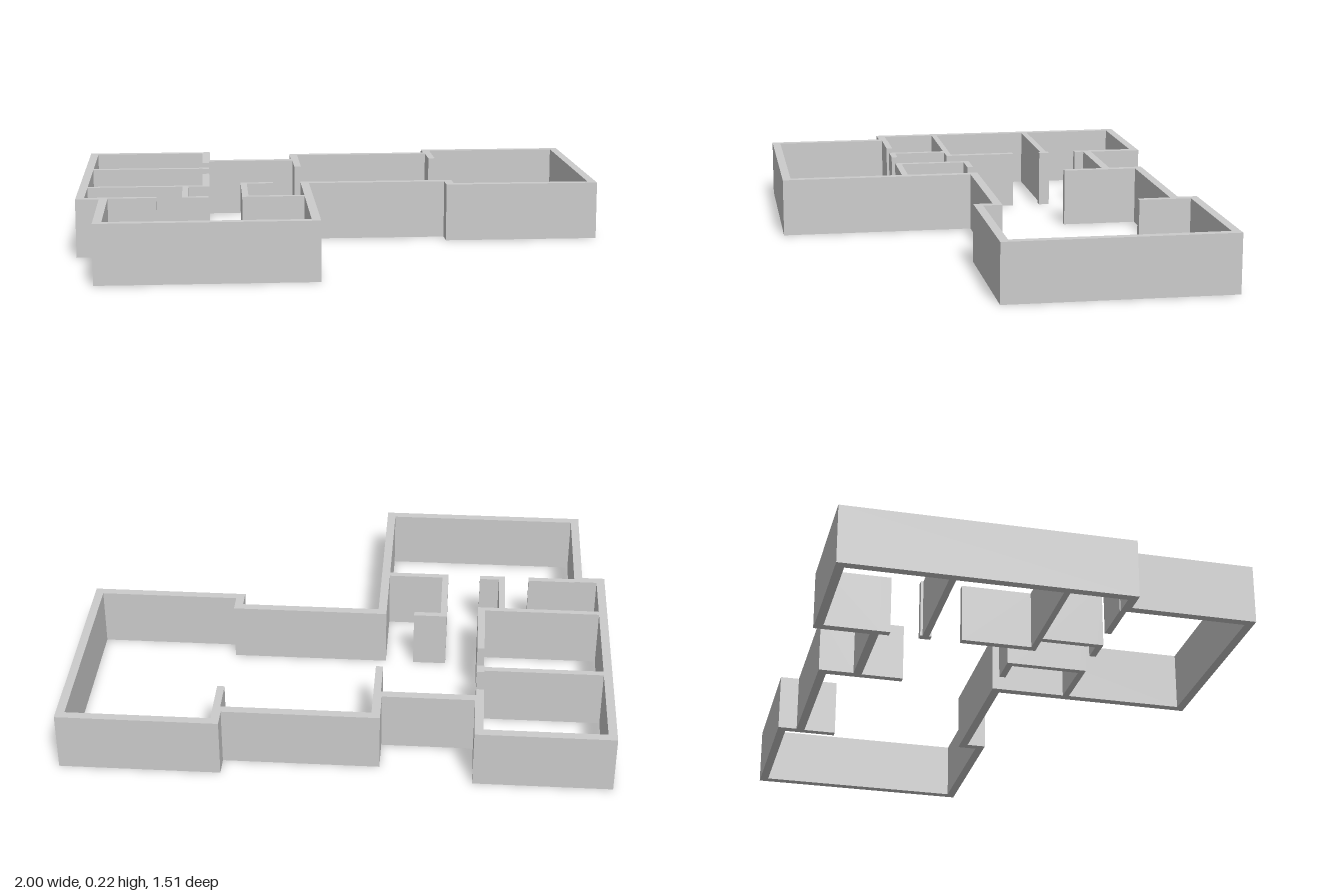
import * as THREE from 'three';

const HEIGHT = 0.22;
const THICK = 0.032;

// Corners of the outside face as [x, z], going round the house.
const OUTLINE = [
  [-1, -0.757], [-0.497, -0.757], [-0.497, -0.553], [-0.16, -0.553],
  [-0.16, -0.684], [0.411, -0.684], [0.411, -0.757], [1, -0.757],
  [1, 0.09], [0.411, 0.09], [0.411, 0.018], [-0.117, 0.018],
  [-0.117, 0.757], [-0.913, 0.757], [-0.913, 0.298], [-1, 0.298],
];

// Moves every corner of a right-angled outline inward by d.
function inset(points, d) {
  const n = points.length;
  return points.map(([x, z], i) => {
    const [px, pz] = points[(i + n - 1) % n];
    const [nx, nz] = points[(i + 1) % n];
    const dx = Math.sign(x - px) + Math.sign(nx - x);
    const dz = Math.sign(z - pz) + Math.sign(nz - z);
    return [x - dz * d, z + dx * d];
  });
}

const toVectors = (points) => points.map(([x, z]) => new THREE.Vector2(x, z));

// Partitions by name, each as [x0, x1, z0, z1].
const PARTITIONS = {
  backBedroomDoorJamb: [-0.529, -0.502, -0.521, -0.484],
  hallStubWall: [-0.155, -0.128, -0.652, -0.364],
  livingRoomStubWall: [0.416, 0.443, -0.652, -0.529],
  bedroomDividingWall: [-0.968, -0.529, -0.366, -0.342],
  dividingWallEndPost: [-0.529, -0.502, -0.375, -0.333],
  bedroomSideWall: [-0.529, -0.502, -0.222, 0.037],
  bedroomFrontWall: [-0.968, -0.502, 0.037, 0.059],
  bathroomSideWall: [-0.606, -0.582, 0.059, 0.263],
  bathroomFrontWall: [-0.606, -0.507, 0.263, 0.287],
  bathroomDoorJamb: [-0.881, -0.7, 0.263, 0.287],
  closetBackWall: [-0.382, -0.256, -0.015, 0.009],
  closetSideWall: [-0.382, -0.358, 0.009, 0.263],
  closetFrontWall: [-0.382, -0.149, 0.263, 0.287],
};

export function createModel() {
  const model = new THREE.Group();
  model.name = 'floorPlan';
  const material = new THREE.MeshStandardMaterial({ color: 0xcccccc, flatShading: true });

  // Continuous outside wall
  const shape = new THREE.Shape(toVectors(OUTLINE));
  shape.holes.push(new THREE.Path(toVectors(inset(OUTLINE, THICK))));
  const shell = new THREE.ExtrudeGeometry(shape, { depth: HEIGHT, bevelEnabled: false });
  shell.rotateX(Math.PI / 2).translate(0, HEIGHT, 0);
  const outerWall = new THREE.Mesh(shell, material);
  outerWall.name = 'outerWall';
  model.add(outerWall);

  // Inside walls and door jambs
  const partitions = new THREE.Group();
  partitions.name = 'partitions';
  for (const [name, [x0, x1, z0, z1]] of Object.entries(PARTITIONS)) {
    const wall = new THREE.Mesh(new THREE.BoxGeometry(x1 - x0, HEIGHT, z1 - z0), material);
    wall.position.set((x0 + x1) / 2, HEIGHT / 2, (z0 + z1) / 2);
    wall.name = name;
    partitions.add(wall);
  }
  model.add(partitions);

  return model;
}
